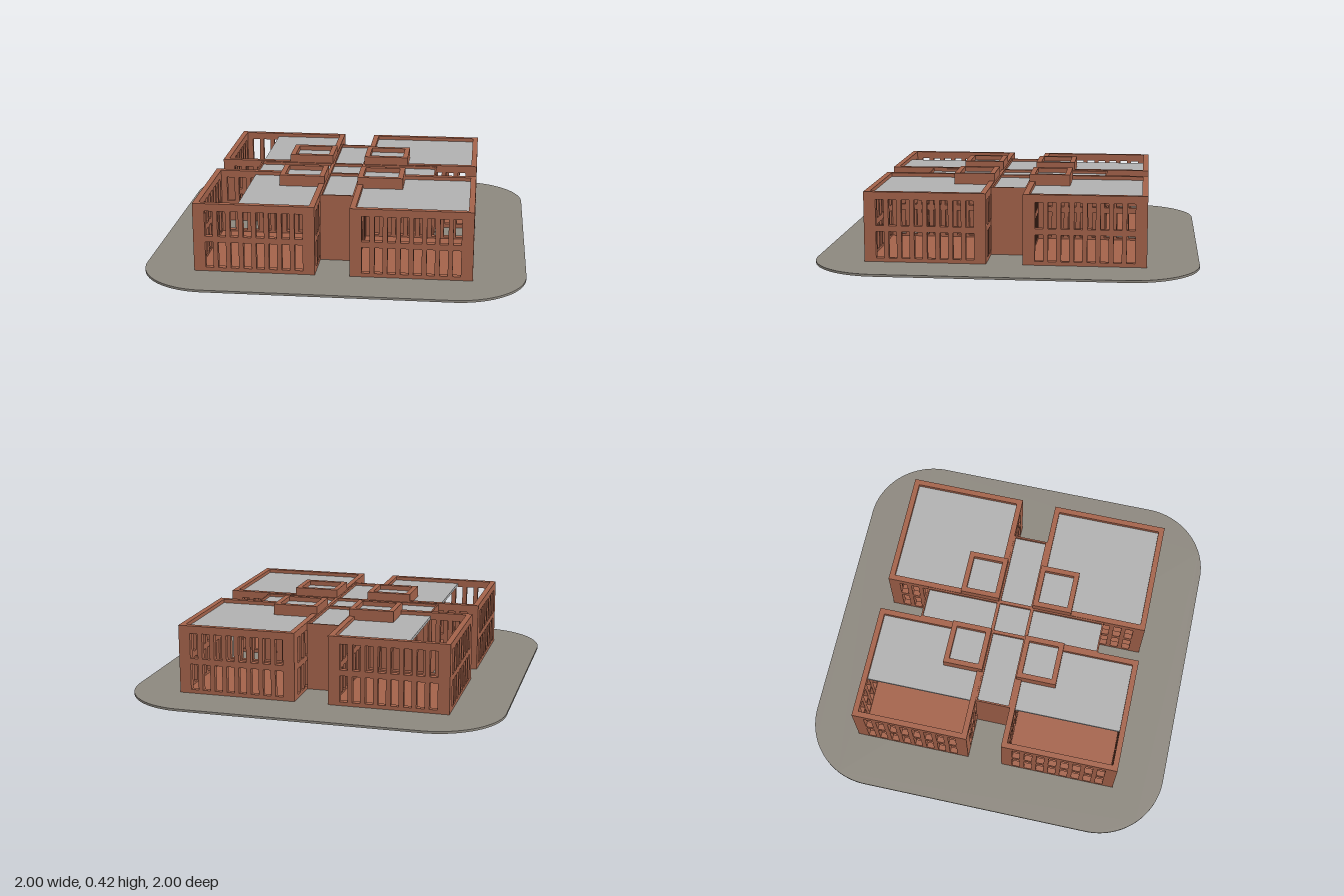
import * as THREE from 'three';

const brick = new THREE.MeshStandardMaterial({ color: 0xa3624a });
const roofing = new THREE.MeshStandardMaterial({ color: 0xb0b0b0 });
const paving = new THREE.MeshStandardMaterial({ color: 0x8c877e });

const GROUND = 0.012, WALL_TOP = 0.38, WALL = 0.03;

function add(parent, name, geometry, material) {
  const mesh = new THREE.Mesh(geometry, material);
  mesh.name = name;
  parent.add(mesh);
  return mesh;
}

function rect(Type, x0, y0, x1, y1) {
  const p = new Type();
  p.moveTo(x0, y0);
  p.lineTo(x1, y0);
  p.lineTo(x1, y1);
  p.lineTo(x0, y1);
  p.closePath();
  return p;
}

// Solid box given by its limits
function slab(parent, name, [x0, x1], [y0, y1], [z0, z1], material) {
  const mesh = add(parent, name, new THREE.BoxGeometry(x1 - x0, y1 - y0, z1 - z0), material);
  mesh.position.set((x0 + x1) / 2, (y0 + y1) / 2, (z0 + z1) / 2);
}

// Hollow rectangular ring of walls
function ring(parent, name, [x0, x1], [y0, y1], [z0, z1], t) {
  const shape = rect(THREE.Shape, x0, -z1, x1, -z0);
  shape.holes.push(rect(THREE.Path, x0 + t, -z1 + t, x1 - t, -z0 - t));
  const geometry = new THREE.ExtrudeGeometry(shape, { depth: y1 - y0, bevelEnabled: false });
  geometry.rotateX(-Math.PI / 2).translate(0, y0, 0);
  add(parent, name, geometry, brick);
}

// Wall pierced by two rows of eight windows, centred on the origin
function windowWall(length) {
  const shape = rect(THREE.Shape, -length / 2, GROUND, length / 2, WALL_TOP);
  for (const [y0, y1] of [[0.032, 0.172], [0.203, 0.34]]) {
    for (let i = 0; i < 8; i++) {
      const x = (i - 3.5) * 0.067;
      shape.holes.push(rect(THREE.Path, x - 0.021, y0, x + 0.021, y1));
    }
  }
  return new THREE.ExtrudeGeometry(shape, { depth: WALL, bevelEnabled: false }).translate(0, 0, -WALL / 2);
}

// Ordered limits on the chosen side of the centre
const span = (sign, a, b) => (sign > 0 ? [a, b] : [-b, -a]);

function pavilion(sx, sz) {
  const group = new THREE.Group();
  group.name = `${sz > 0 ? 'front' : 'back'}${sx > 0 ? 'Left' : 'Right'}Pavilion`;
  const size = 0.635, cx = sx * 0.4075, cz = sz * 0.4125;
  const offset = (size - WALL) / 2;
  for (const s of [-1, 1]) {
    add(group, 'windowWall', windowWall(size), brick).position.set(cx, 0, cz + s * offset);
    const side = add(group, 'sideWindowWall', windowWall(size - 2 * WALL), brick);
    side.rotation.y = Math.PI / 2;
    side.position.set(cx + s * offset, 0, cz);
  }
  const inner = size / 2 - WALL;
  const zs = [cz - inner, cz + inner];
  slab(group, 'floor', [cx - inner, cx + inner], [GROUND, 0.022], zs, brick);
  // The right-hand pavilions leave an open strip beside the outer wall
  slab(group, 'roof', [sx > 0 ? cx - inner : -0.5, cx + inner], [0.345, 0.36], zs, roofing);

  // Raised stair head at the inner corner
  const tx = span(sx, 0.09, 0.335), tz = span(sz, 0.095, 0.313);
  ring(group, 'stairHeadWalls', tx, [0.35, 0.42], tz, 0.028);
  slab(group, 'stairHeadRoof', [tx[0] + 0.028, tx[1] - 0.028], [0.37, 0.395],
    [tz[0] + 0.028, tz[1] - 0.028], roofing);
  return group;
}

function corridor(name, xs, zs) {
  const group = new THREE.Group();
  group.name = name;
  const t = 0.009;
  ring(group, 'corridorWalls', xs, [GROUND, 0.375], zs, t);
  slab(group, 'corridorRoof', [xs[0] + t, xs[1] - t], [0.345, 0.36], [zs[0] + t, zs[1] - t], roofing);
  return group;
}

export function createModel() {
  const model = new THREE.Group();
  model.name = 'campusBuilding';

  // Rounded ground plate
  const r = 0.37, k = 1 - r;
  const plate = new THREE.Shape();
  [[k, k], [-k, k], [-k, -k], [k, -k]].forEach(([x, y], i) =>
    plate.absarc(x, y, r, i * Math.PI / 2, (i + 1) * Math.PI / 2, false));
  const plateGeometry = new THREE.ExtrudeGeometry(plate, { depth: GROUND, bevelEnabled: false, curveSegments: 20 });
  add(model, 'groundPlate', plateGeometry.rotateX(-Math.PI / 2), paving);

  // Four pavilions
  for (const sx of [-1, 1]) for (const sz of [-1, 1]) model.add(pavilion(sx, sz));

  // Cross of corridors between them
  const w = [-0.09, 0.09], d = [-0.095, 0.095];
  model.add(corridor('crossing', w, d));
  model.add(corridor('leftCorridor', [0.09, 0.5], d));
  model.add(corridor('rightCorridor', [-0.5, -0.09], d));
  model.add(corridor('frontCorridor', w, [0.095, 0.5]));
  model.add(corridor('backCorridor', w, [-0.5, -0.095]));
  return model;
}
